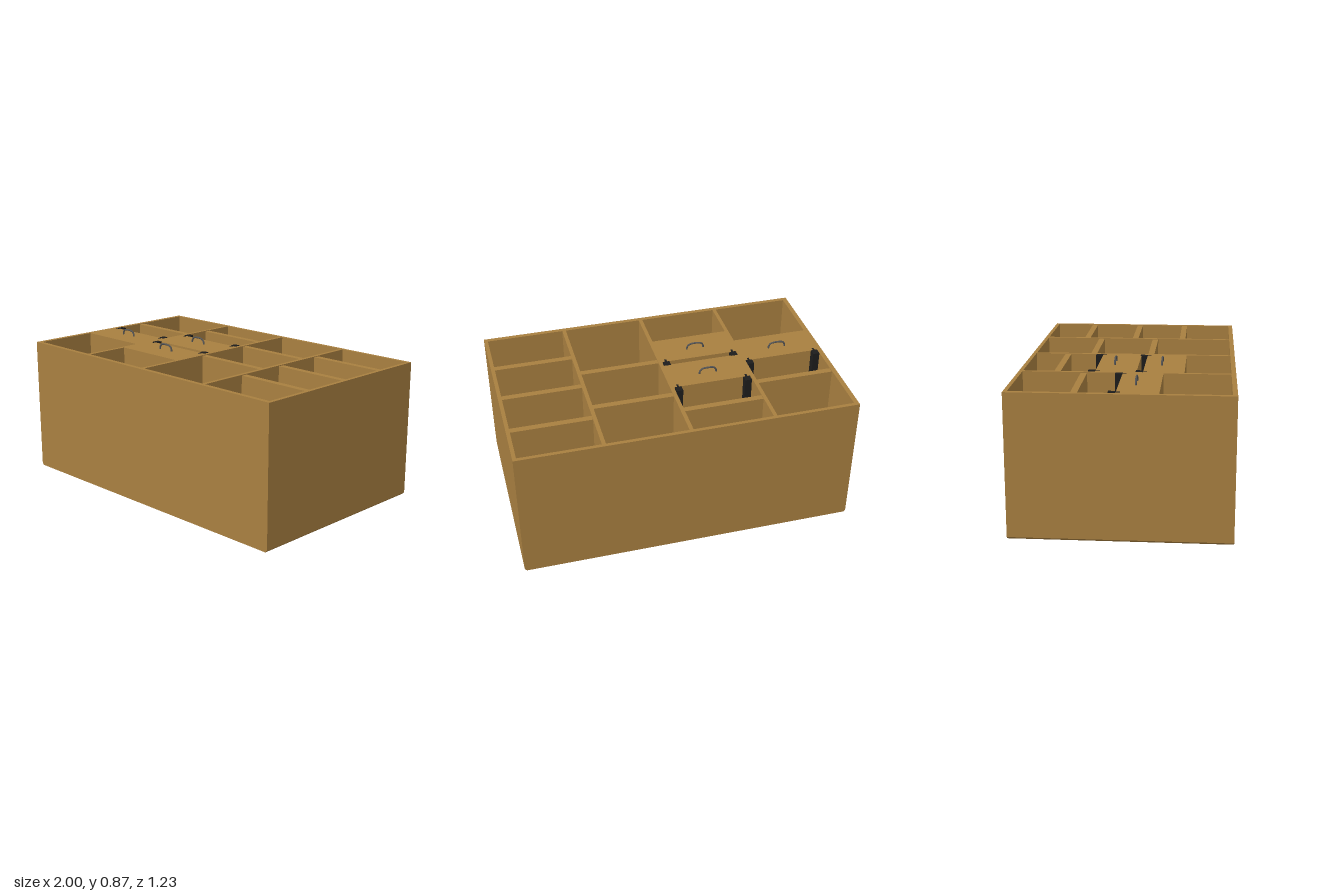
import * as THREE from 'three';

const TOP = 0.825, FLOOR = 0.02, HX = 1, HZ = 0.617;

export function createModel() {
  const model = new THREE.Group();
  model.name = 'cabinet';
  const wood = new THREE.MeshStandardMaterial({ color: 0xa87f40 });
  const black = new THREE.MeshStandardMaterial({ color: 0x1c1c1c });
  const metal = new THREE.MeshStandardMaterial({ color: 0x555555 });

  // box given by its bounds on each axis
  const box = (name, x0, x1, y0, y1, z0, z1, mat = wood, parent = model) => {
    const m = new THREE.Mesh(new THREE.BoxGeometry(x1 - x0, y1 - y0, z1 - z0), mat);
    m.position.set((x0 + x1) / 2, (y0 + y1) / 2, (z0 + z1) / 2);
    m.name = name;
    parent.add(m);
    return m;
  };

  // back panel, its two side edges bevelled underneath
  const c = 0.012;
  const profile = new THREE.Shape([
    [-HX + c, 0], [HX - c, 0], [HX, c], [HX, FLOOR], [-HX, FLOOR], [-HX, c],
  ].map(([x, y]) => new THREE.Vector2(x, y)));
  const panelGeo = new THREE.ExtrudeGeometry(profile, { depth: 2 * HZ, bevelEnabled: false });
  panelGeo.translate(0, 0, -HZ);
  const panel = new THREE.Mesh(panelGeo, wood);
  panel.name = 'backPanel';
  model.add(panel);

  // outer frame
  box('sideWall', -HX, -0.972, FLOOR, TOP, -HZ, HZ);
  box('sideWall', 0.978, HX, FLOOR, TOP, -HZ, HZ);
  box('endWall', -0.972, 0.978, FLOOR, TOP, -HZ, -0.595);
  box('endWall', -0.972, 0.978, FLOOR, TOP, 0.59, HZ);

  // dividers between the columns
  for (const [x0, x1] of [[-0.507, -0.485], [-0.013, 0.01], [0.485, 0.508]])
    box('divider', x0, x1, FLOOR, TOP, -0.595, 0.59);

  // shelves in each column
  const columns = [
    { x: [-0.972, -0.507], shelves: [-0.262] },
    { x: [-0.485, -0.013], shelves: [-0.418] },
    { x: [0.01, 0.485], shelves: [-0.262, 0.09] },
    { x: [0.508, 0.978], shelves: [-0.36, -0.043, 0.267] },
  ];
  for (const { x, shelves } of columns)
    for (const z of shelves) box('shelf', x[0], x[1], FLOOR, TOP - 0.004, z, z + 0.037);

  // bent wire pull
  const handleCurve = new THREE.CatmullRomCurve3([
    [-0.052, -0.005], [-0.051, 0.012], [-0.042, 0.027], [-0.026, 0.034],
    [0.026, 0.034], [0.042, 0.027], [0.051, 0.012], [0.052, -0.005],
  ].map(([x, y]) => new THREE.Vector3(x, y, 0)));
  const handleGeo = new THREE.TubeGeometry(handleCurve, 32, 0.0055, 10);

  // drawers with a pull and two black runners along the upper edge
  const drawers = [
    { x: columns[0].x, z: [-0.022, 0.208], pull: 0.073 },
    { x: columns[1].x, z: [-0.182, 0.053], pull: -0.085 },
    { x: columns[1].x, z: [0.09, 0.326], pull: 0.19 },
  ];
  for (const { x, z, pull } of drawers) {
    const drawer = new THREE.Group();
    drawer.name = 'drawer';
    model.add(drawer);
    box('drawerBody', x[0], x[1], FLOOR, TOP, z[0], z[1], wood, drawer);

    const mid = (x[0] + x[1]) / 2;
    const handle = new THREE.Mesh(handleGeo, metal);
    handle.name = 'handle';
    handle.position.set(mid, TOP, pull);
    drawer.add(handle);

    for (const s of [-1, 1]) {
      const cx = mid + s * 0.211;
      box('runner', cx - 0.02, cx + 0.02, 0.1, TOP + 0.001, z[0] - 0.042, z[0], black, drawer);
      box('runnerTab', cx - 0.006, cx + 0.006, TOP - 0.05, TOP + 0.001, z[0], z[0] + 0.022, black, drawer);
    }
  }
  return model;
}
